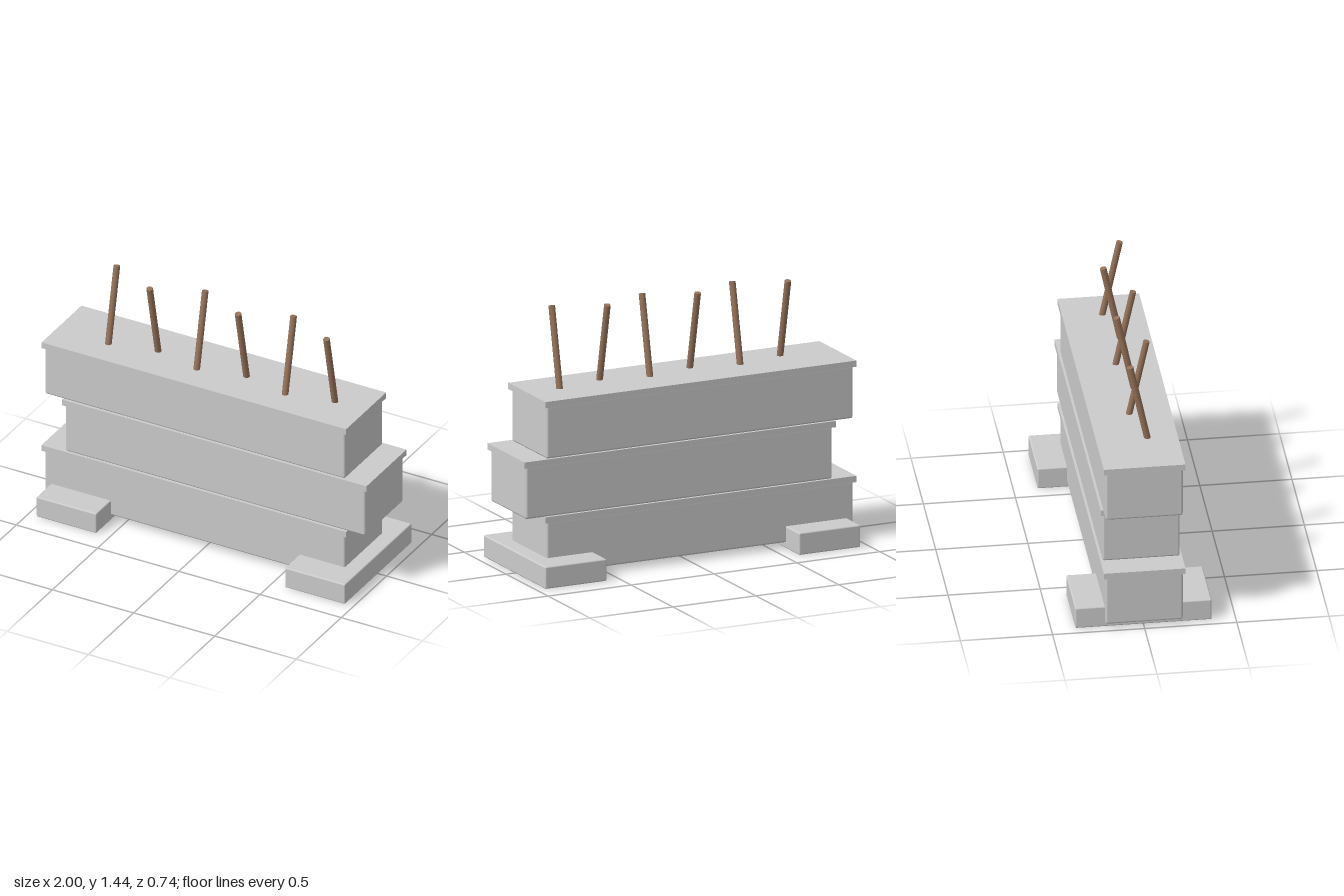
import * as THREE from 'three';
import { RoundedBoxGeometry } from 'three/addons/geometries/RoundedBoxGeometry.js';

export function createModel() {
  const model = new THREE.Group();
  const grey = new THREE.MeshStandardMaterial({ color: 0xcccccc });
  const brown = new THREE.MeshStandardMaterial({ color: 0x96735a });

  const add = (name, geometry, material, x, y, z) => {
    const mesh = new THREE.Mesh(geometry, material);
    mesh.name = name;
    mesh.position.set(x, y, z);
    model.add(mesh);
    return mesh;
  };

  // Three stacked boxes with lids, shifted alternately to either side
  const bodyGeometry = new RoundedBoxGeometry(1.846, 0.294, 0.42, 3, 0.012);
  const lidGeometry = new THREE.BoxGeometry(1.875, 0.035, 0.443);
  [-1, 1, -1].forEach((side, i) => {
    const base = 0.032 + i * 0.3215;
    add('boxBody', bodyGeometry, grey, side * 0.0625, base + 0.147, 0);
    add('boxLid', lidGeometry, grey, side * 0.0625, base + 0.3055, 0);
  });

  // Cross feet under both ends
  const footGeometry = new RoundedBoxGeometry(0.37, 0.123, 0.74, 3, 0.008);
  for (const side of [-1, 1]) add('foot', footGeometry, grey, side * 0.765, 0.0615, 0);

  // Row of sticks leaning alternately back and forward
  const lean = 0.21;
  const stickGeometry = new THREE.CylinderGeometry(0.018, 0.018, 0.47, 12);
  for (let i = 0; i < 6; i++) {
    const direction = i % 2 ? 1 : -1;
    const stick = add('stick', stickGeometry, brown, -0.68 + i * 0.272, 1.208, 0.026 + direction * 0.014);
    stick.rotation.x = direction * lean;
  }
  return model;
}
